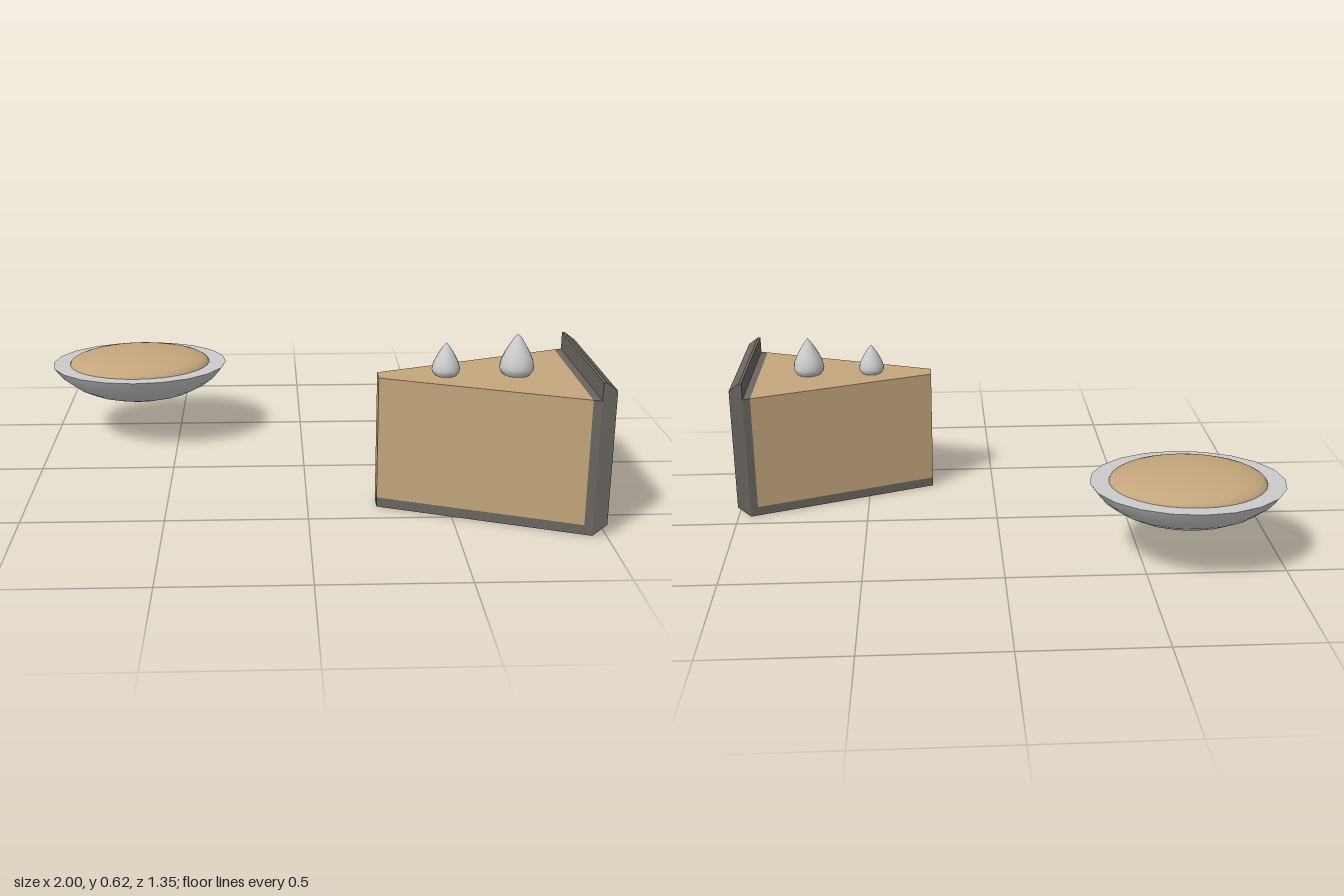
import * as THREE from 'three';

const paint = (color, flatShading = false) => new THREE.MeshStandardMaterial({ color, flatShading });

export function createModel() {
  const model = new THREE.Group();
  model.name = 'pieSliceAndBowl';

  const grey = paint(0xcccccc);
  const crust = paint(0x6b6660, true);
  const under = paint(0x6b563e, true);
  const filling = paint(0xc4a67c, true);
  const soft = paint(0xc4a67c);

  const add = (parent, name, geometry, material) => {
    const mesh = new THREE.Mesh(geometry, material);
    mesh.name = name;
    parent.add(mesh);
    return mesh;
  };
  const polygon = (pts) => new THREE.Shape(pts.map(([x, y]) => new THREE.Vector2(x, y)));
  const lathe = (pts, sides) =>
    new THREE.LatheGeometry(pts.map(([r, y]) => new THREE.Vector2(r, y)), sides);

  // Slice: plan is a wedge widening from the tip to the outer wall
  const slice = new THREE.Group();
  slice.name = 'pieSlice';
  slice.position.z = 0.367;
  model.add(slice);

  const tipX = 0.245, wallX = 0.952, tipHalf = 0.033, wallHalf = 0.303;
  const half = (x) => tipHalf + ((wallHalf - tipHalf) * (x - tipX)) / (wallX - tipX);
  const wedge = (x0, x1, y0, y1) => {
    const plan = polygon([[x0, -half(x0)], [x1, -half(x1)], [x1, half(x1)], [x0, half(x0)]]);
    return new THREE.ExtrudeGeometry(plan, { depth: y1 - y0, bevelEnabled: false })
      .rotateX(Math.PI / 2)
      .translate(0, y1, 0);
  };
  add(slice, 'filling', wedge(tipX, 0.925, 0.035, 0.48), filling);
  add(slice, 'bottomCrust', wedge(tipX, wallX, 0, 0.035), [under, crust]);
  add(slice, 'innerCrust', wedge(0.925, wallX, 0.035, 0.48), crust);

  // Straight outer wall with a sloping top and a bevelled foot
  const wall = (pts) =>
    new THREE.ExtrudeGeometry(polygon(pts), { depth: wallHalf * 2, bevelEnabled: false })
      .translate(0, 0, -wallHalf);
  add(slice, 'outerCrust',
    wall([[wallX, 0.04], [1, 0.04], [1, 0.515], [0.962, 0.543], [wallX, 0.543]]), crust);
  add(slice, 'crustFoot', wall([[wallX, 0], [1, 0.04], [wallX, 0.04]]), [crust, under]);

  // Two cream drops on top
  const dropProfile = [[0, 0], [0.78, 0], [0.96, 0.1], [1, 0.2], [0.92, 0.36],
    [0.73, 0.54], [0.46, 0.74], [0.2, 0.91], [0, 1]];
  for (const [x, radius, height] of [[0.48, 0.049, 0.115], [0.727, 0.06, 0.145]]) {
    const drop = add(slice, 'creamDrop', lathe(dropProfile, 20), grey);
    drop.position.set(x, 0.48, 0);
    drop.scale.set(radius, height, radius);
  }

  // Oval bowl with a flat rim and a domed filling
  const bowl = new THREE.Group();
  bowl.name = 'bowl';
  bowl.position.set(-0.652, 0.305, -0.389);
  bowl.scale.set(0.348, 1, 0.287);
  model.add(bowl);

  const shellProfile = [[0, -0.147], [0.2, -0.143], [0.4, -0.132], [0.6, -0.111],
    [0.76, -0.083], [0.89, -0.048], [0.96, -0.02], [1, 0]];
  add(bowl, 'bowlShell', lathe(shellProfile, 20), grey);
  const rim = new THREE.RingGeometry(0.78, 1, 20).rotateX(-Math.PI / 2);
  add(bowl, 'bowlRim', rim, grey);

  const domeProfile = [];
  for (let i = 0; i <= 8; i++) {
    const a = (i / 8) * Math.PI / 2;
    domeProfile.push([0.805 * Math.cos(a), 0.05 * Math.sin(a)]);
  }
  add(bowl, 'bowlFilling', lathe(domeProfile, 32), soft);

  return model;
}
